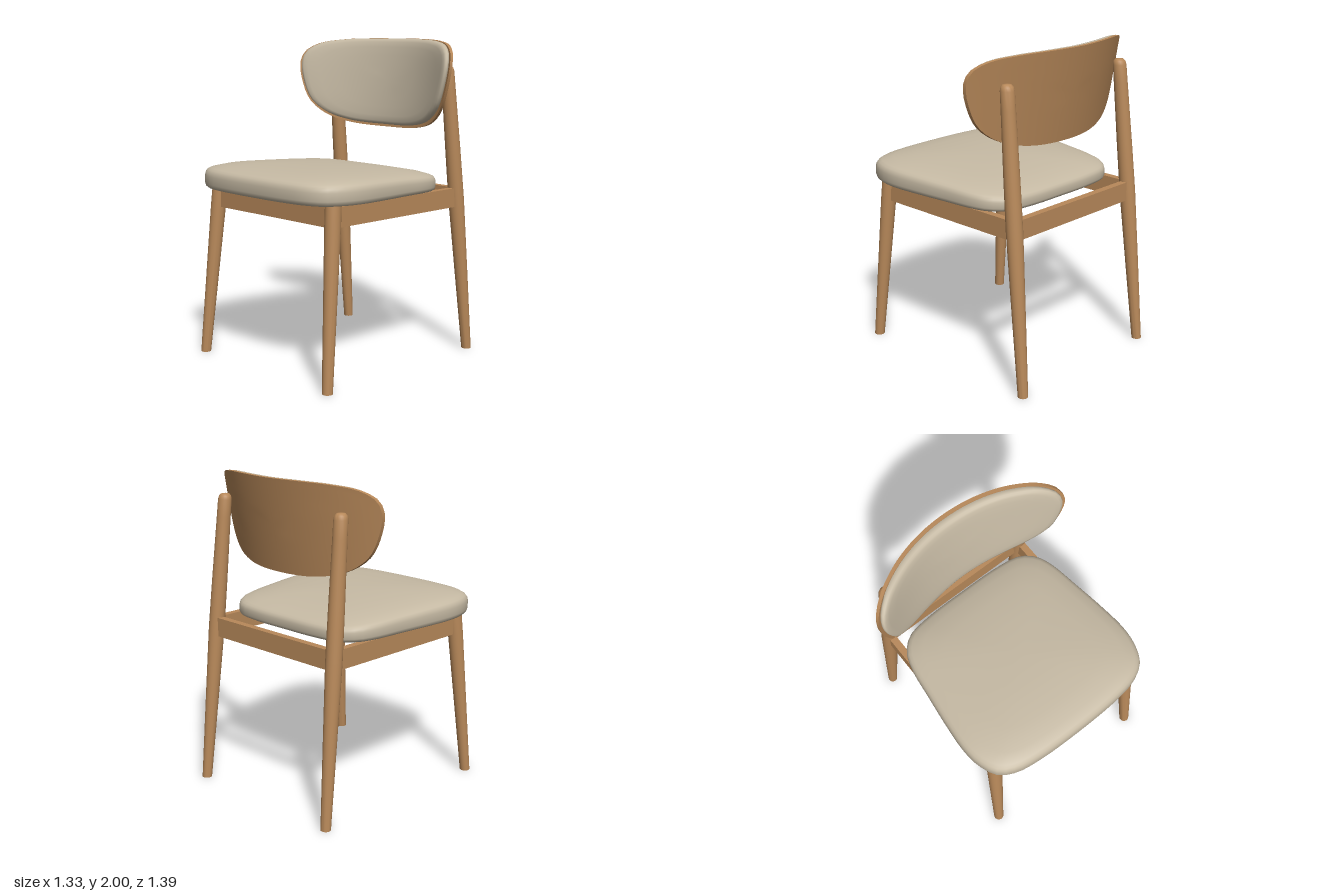
import * as THREE from 'three';
import { toCreasedNormals } from 'three/addons/utils/BufferGeometryUtils.js';

// Half outline (x >= 0), mirrored and smoothed into a closed loop.
function outline(half, count) {
  const mirrored = half.slice(1, -1).reverse().map(([u, v]) => [-u, v]);
  const pts = [...half, ...mirrored].map(([u, v]) => new THREE.Vector3(u, v, 0));
  return new THREE.CatmullRomCurve3(pts, true).getSpacedPoints(count).slice(0, count);
}

// Skin of concentric rings [scale, height]; place() maps each outline point into space.
function loft(loop, rings, place, crease) {
  const n = loop.length, pos = [], idx = [];
  for (const [s, h] of rings) for (const p of loop) pos.push(...place(p.x, p.y, s, h));
  for (let i = 0; i < rings.length - 1; i++) {
    for (let j = 0; j < n; j++) {
      const a = i * n + j, b = i * n + (j + 1) % n;
      if (rings[i][0] > 0) idx.push(a, b, b + n);
      if (rings[i + 1][0] > 0) idx.push(a, b + n, a + n);
      else if (rings[i][0] > 0) continue;
    }
  }
  const g = new THREE.BufferGeometry();
  g.setAttribute('position', new THREE.Float32BufferAttribute(pos, 3));
  g.setIndex(idx);
  return toCreasedNormals(g, crease);
}

// Turned leg from [radius, y] profile, sheared so the foot stays flat on the floor.
function leg(profile, foot, top) {
  const pts = profile.map(([r, y]) => new THREE.Vector2(r, y));
  const g = new THREE.LatheGeometry(pts, 24);
  const p = g.attributes.position, height = profile[profile.length - 1][1];
  for (let i = 0; i < p.count; i++) {
    const t = p.getY(i) / height;
    p.setX(i, p.getX(i) + THREE.MathUtils.lerp(foot[0], top[0], t));
    p.setZ(i, p.getZ(i) + THREE.MathUtils.lerp(foot[1], top[1], t));
  }
  return toCreasedNormals(g, 0.8);
}

export function createModel() {
  const chair = new THREE.Group();
  chair.name = 'chair';
  const wood = new THREE.MeshStandardMaterial({ color: 0xb8895a });
  wood.name = 'oak wood';
  const fabric = new THREE.MeshStandardMaterial({ color: 0xc6baa4 });
  fabric.name = 'beige upholstery';
  const add = (name, geometry, material) => {
    const m = new THREE.Mesh(geometry, material);
    m.name = name;
    chair.add(m);
    return m;
  };

  // Legs
  const frontProfile = [[0, 0], [0.032, 0], [0.048, 0.95], [0.048, 1.09], [0, 1.09]];
  const backProfile = [[0, 0], [0.031, 0], [0.041, 0.5], [0.05, 1], [0.048, 1.3], [0.043, 1.7],
    [0.042, 1.805], [0.037, 1.828], [0.025, 1.84], [0, 1.843]];
  for (const [side, s] of [['left', 1], ['right', -1]]) {
    add(side + 'FrontLeg', leg(frontProfile, [0.573 * s, 0.61], [0.521 * s, 0.512]), wood);
    add(side + 'BackLeg', leg(backProfile, [0.55 * s, -0.664], [0.5 * s, -0.486]), wood);
    // Side rails
    add(side + 'Rail', new THREE.BoxGeometry(0.045, 0.12, 1.08), wood)
      .position.set(0.523 * s, 1.01, -0.025);
  }

  // Front and back rails
  for (const [name, z] of [['frontRail', 0.517], ['backRail', -0.569]]) {
    add(name, new THREE.BoxGeometry(1.04, 0.12, 0.045), wood).position.set(0, 1.01, z);
  }

  // Seat cushion: crowned, sinking gently towards the back
  const seatLoop = outline([[0, 0.695], [0.3, 0.685], [0.46, 0.658], [0.56, 0.6], [0.613, 0.49],
    [0.63, 0.36], [0.615, 0.15], [0.59, -0.05], [0.563, -0.25], [0.525, -0.36], [0.44, -0.44],
    [0.27, -0.47], [0, -0.475]], 80);
  const seatRings = [[0, 1.08], [0.6, 1.08], [0.95, 1.08], [0.975, 1.083], [0.992, 1.093],
    [1, 1.112], [1, 1.16], [0.994, 1.18], [0.978, 1.196], [0.95, 1.207], [0.85, 1.223],
    [0.65, 1.238], [0.35, 1.247], [0, 1.25]];
  add('seatCushion', loft(seatLoop, seatRings, (u, v, s, h) => {
    const z = 0.11 + (v - 0.11) * s;
    const sink = THREE.MathUtils.mapLinear(Math.min(h, 1.21), 1.08, 1.21, 0.015, 0.05);
    return [u * s, h - sink * ((0.695 - z) / 1.17) ** 2, z];
  }, 1), fabric);

  // Backrest: bent around a vertical axis and leaning back
  const backLoop = outline([[0, 1.428], [0.3, 1.442], [0.47, 1.49], [0.58, 1.575], [0.64, 1.7],
    [0.667, 1.84], [0.645, 1.915], [0.57, 1.965], [0.43, 1.99], [0.25, 1.999], [0, 2]], 80);
  const bend = (inset, rise) => (u, v, s, h) => {
    const x = u * s * inset, y = 1.72 + rise + (v - 1.72) * s * inset;
    return [x, y, -0.598 + 0.18 * (2 - y) + 1.07 - Math.sqrt(1.07 ** 2 - x * x) + h];
  };
  const fill = [0, 0.2, 0.4, 0.6, 0.8, 0.92];
  const panel = [...fill.map(s => [s, 0]), [1, 0], [1, 0.024], ...fill.map(s => [s, 0.024]).reverse()];
  add('backrestShell', loft(backLoop, panel, bend(1, 0), 0.6), wood);
  const pad = [...fill.map(s => [s, 0.02]), [0.985, 0.02], [1, 0.032], [1, 0.044], [0.99, 0.056],
    [0.965, 0.066], [0.92, 0.072], [0.8, 0.076], [0.6, 0.078], [0.4, 0.079], [0.2, 0.08], [0, 0.08]];
  add('backrestCushion', loft(backLoop, pad, bend(0.968, 0.008), 1), fabric);

  return chair;
}
